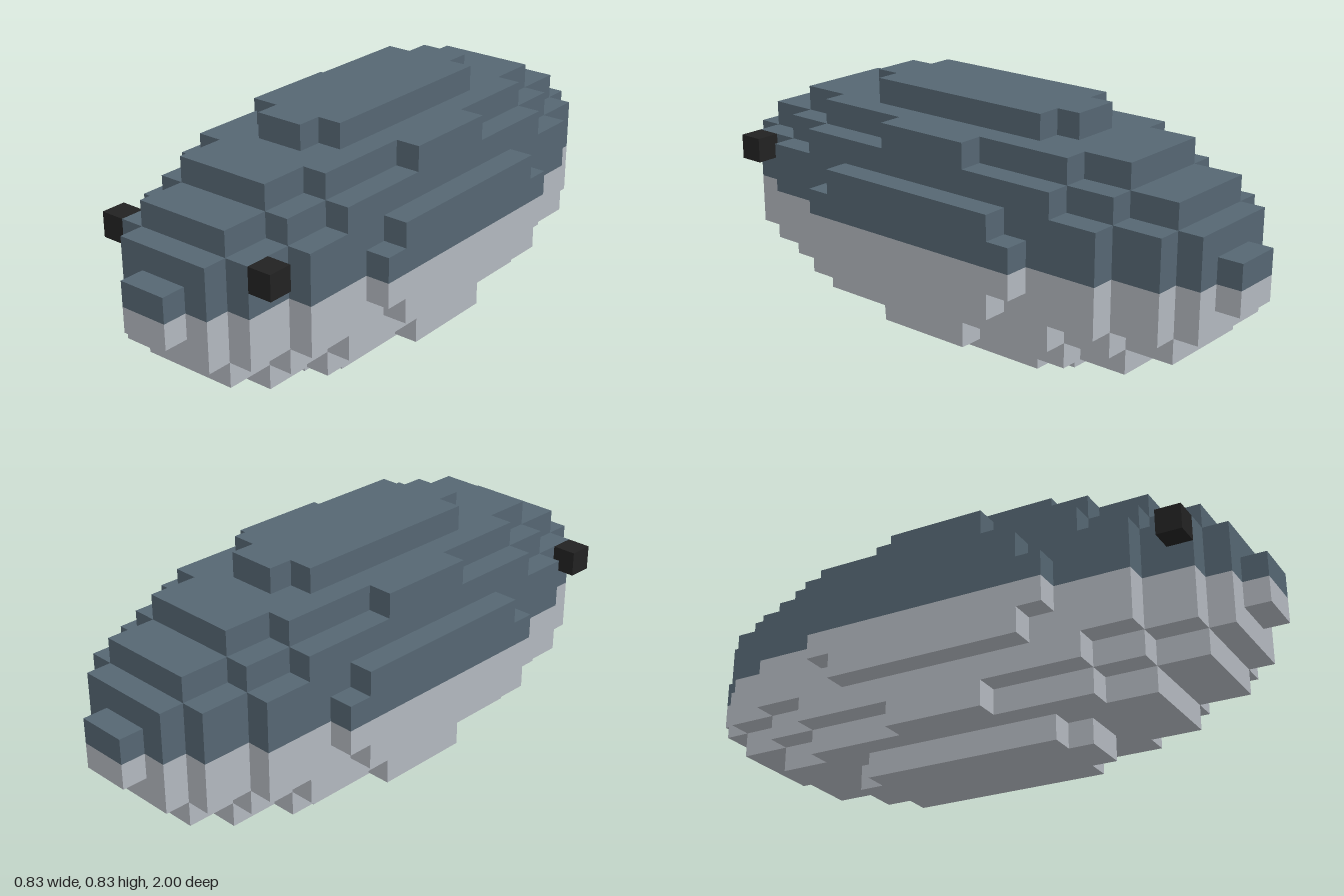
import * as THREE from 'three';

const U = 1 / 12;                 // edge of one block
const RADIUS = 5, HALF_LENGTH = 12; // body size in blocks

// Half length, in blocks, of the block row at column i and layer j from the axis
function rowLength(i, j) {
  const rest = 1 - ((i + 0.5) ** 2 + (j + 0.5) ** 2) / RADIUS ** 2;
  return rest <= 0 ? 0 : Math.floor(HALF_LENGTH * Math.sqrt(rest) + 0.5);
}

// Stepped outline of one horizontal layer, mirrored into four quarters
function layerShape(j) {
  const quarter = [];
  for (let i = 0; i < RADIUS; i++) {
    const length = rowLength(i, j);
    if (!length) break;
    if (i > 0 && length !== rowLength(i - 1, j)) quarter.push([i, length]);
    quarter.push([i + 1, length]);
  }
  const half = [...quarter, ...quarter.map(([x, z]) => [x, -z]).reverse()];
  const outline = [...half, ...half.map(([x, z]) => [-x, z]).reverse()];
  return new THREE.Shape(outline.map(([x, z]) => new THREE.Vector2(x * U, z * U)));
}

export function createModel() {
  const model = new THREE.Group();
  model.name = 'blockyFish';

  const slate = new THREE.MeshStandardMaterial({ color: 0x556672 });
  slate.name = 'slate';
  const paleGrey = new THREE.MeshStandardMaterial({ color: 0xb2b7be });
  paleGrey.name = 'paleGrey';
  const black = new THREE.MeshStandardMaterial({ color: 0x222222 });
  black.name = 'black';

  // Body: dark back above, pale belly below, stacked in one-block layers
  const back = new THREE.Group();
  back.name = 'back';
  const belly = new THREE.Group();
  belly.name = 'belly';
  for (let j = 0; j < RADIUS; j++) {
    const geometry = new THREE.ExtrudeGeometry(layerShape(j), { depth: U, bevelEnabled: false });
    geometry.rotateX(-Math.PI / 2);
    const upper = new THREE.Mesh(geometry, slate);
    upper.name = `backLayer${j + 1}`;
    upper.position.y = (RADIUS + j) * U;
    back.add(upper);
    const lower = new THREE.Mesh(geometry, paleGrey);
    lower.name = `bellyLayer${j + 1}`;
    lower.position.y = (RADIUS - 1 - j) * U;
    belly.add(lower);
  }
  model.add(back, belly);

  // Eyes: one block on each side near the front
  for (const side of [1, -1]) {
    const eye = new THREE.Mesh(new THREE.BoxGeometry(U, U, U), black);
    eye.name = side > 0 ? 'leftEye' : 'rightEye';
    eye.position.set(side * 3.5 * U, 6.5 * U, 9.5 * U);
    model.add(eye);
  }
  return model;
}
